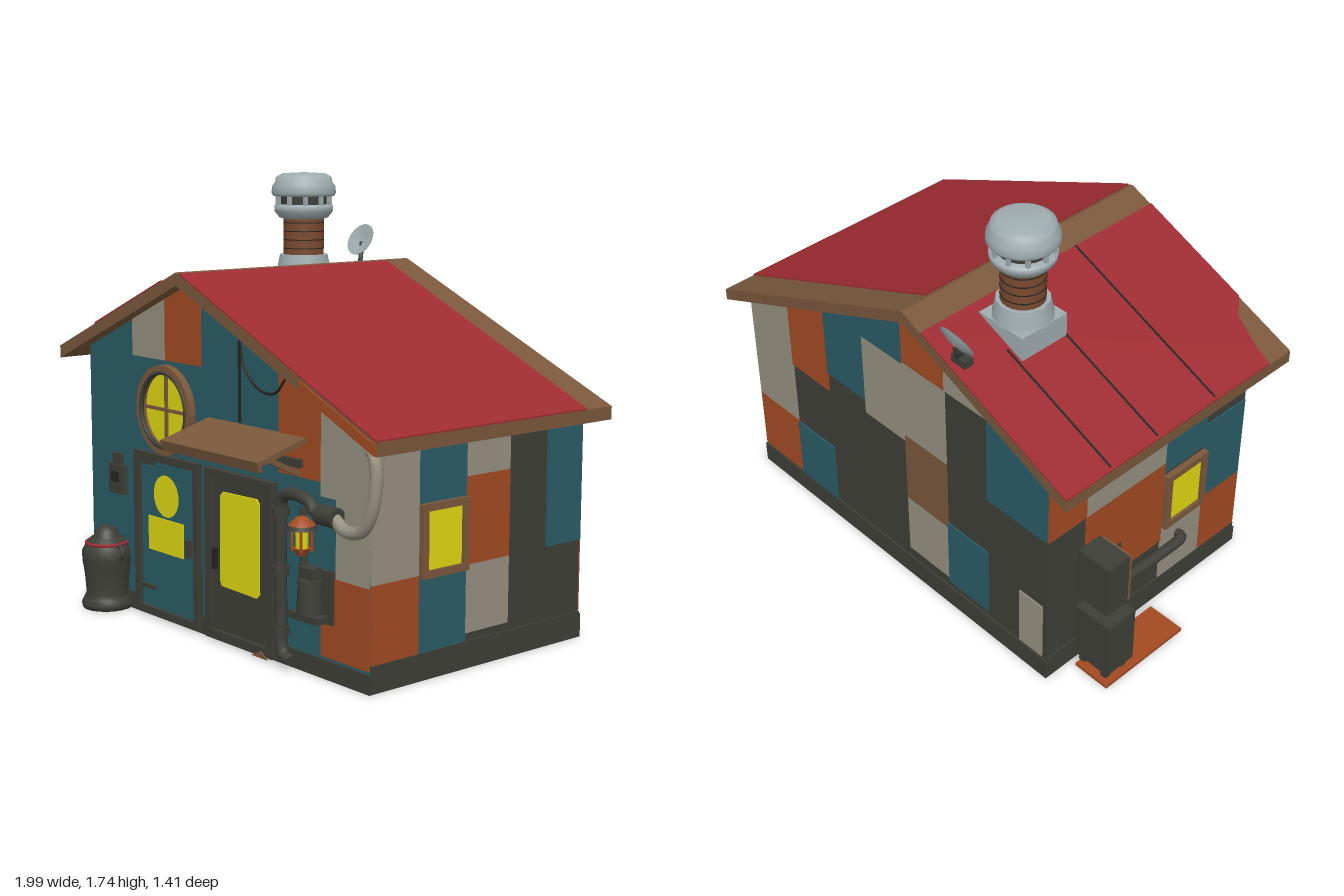
import * as THREE from 'three';

const mat = (name, color) => {
  const m = new THREE.MeshStandardMaterial({ color });
  m.name = name;
  return m;
};

export function createModel() {
  const house = new THREE.Group();
  house.name = 'workshopHouse';
  const teal = mat('teal paint', 0x2a5c66), red = mat('red roofing', 0x9e2c32),
    orange = mat('orange paint', 0xa34b22), beige = mat('beige paint', 0x969080),
    dark = mat('dark metal', 0x3f3f38), brown = mat('brown wood', 0x7a583c),
    yellow = mat('yellow glass', 0xe0d812), pale = mat('pale steel', 0xa0adb0),
    brick = mat('chimney brick', 0x7a4a2e), black = mat('black seam', 0x24241f);

  const add = (name, geo, m, x = 0, y = 0, z = 0, parent = house) => {
    const mesh = new THREE.Mesh(geo, m);
    mesh.name = name;
    mesh.position.set(x, y, z);
    parent.add(mesh);
    return mesh;
  };
  const group = (name, x, y, z) => {
    const g = new THREE.Group();
    g.name = name;
    g.position.set(x, y, z);
    house.add(g);
    return g;
  };
  const box = (name, m, w, h, d, x, y, z, parent) => add(name, new THREE.BoxGeometry(w, h, d), m, x, y, z, parent);
  const cyl = (name, m, r0, r1, h, x, y, z, parent, n = 20) =>
    add(name, new THREE.CylinderGeometry(r0, r1, h, n), m, x, y, z, parent);
  const shapeOf = pts => new THREE.Shape(pts.map(p => new THREE.Vector2(p[0], p[1])));
  const extrude = (shape, depth) => new THREE.ExtrudeGeometry(shape, { depth, bevelEnabled: false, curveSegments: 20 });
  const tube = (name, m, pts, r, tension = 0.5) => add(name, new THREE.TubeGeometry(
    new THREE.CatmullRomCurve3(pts.map(p => new THREE.Vector3(...p)), false, 'catmullrom', tension), 40, r, 10), m);
  const lathe = (name, m, pts, x, y, z, parent, n = 24) =>
    add(name, new THREE.LatheGeometry(pts.map(p => new THREE.Vector2(p[0], p[1])), n), m, x, y, z, parent);

  // Roof line and wall extents
  const RX = -0.12, RY = 1.38, L = -0.8, R = 0.9, F = 0.48, B = -0.58, T = 0.05;
  const roofY = x => RY - (x < RX ? (RX - x) * 0.427 : (x - RX) * 0.44);
  const gable = (x0, x1, y0, y1) => {
    const top = x => Math.min(y1, roofY(x) - T);
    const pts = [[x0, y0], [x1, y0], [x1, top(x1)]];
    for (const x of [0.6, 0.3, RX, -0.3, -0.6]) if (x > x0 && x < x1) pts.push([x, top(x)]);
    pts.push([x0, top(x0)]);
    return shapeOf(pts);
  };

  // Walls
  add('wallBody', extrude(gable(L, R, 0, 9), F - B), dark, 0, 0, B);
  add('frontWallPaint', extrude(gable(L, R, 0.07, 9), 0.004), teal, 0, 0, F);
  box('frontBase', dark, R - L + 0.016, 0.07, 0.02, 0.05, 0.035, F);
  box('backBase', dark, R - L + 0.016, 0.09, 0.016, 0.05, 0.045, B);
  for (const x of [L, R]) box('sideBase', dark, 0.016, 0.1, F - B, x, 0.05, -0.05);

  // Painted wall patches: colour, start, end, bottom, top
  const front = [[beige, -0.49, -0.27, 1.03, 9], [orange, -0.27, -0.04, 1.03, 9], [orange, 0.42, 0.65, 0.7, 9],
    [beige, 0.65, R, 0.65, 9], [beige, 0.73, R, 0.37, 0.65], [orange, 0.65, R, 0.08, 0.37]];
  for (const [m, a, b, c, d] of front) add('frontPatch', extrude(gable(a, b, c, d), 0.008), m, 0, 0, F);
  const back = [[orange, 0.65, R, 0.1, 0.38], [beige, 0.65, R, 0.38, 9], [teal, 0.42, 0.65, 0.09, 0.37],
    [orange, 0.42, 0.65, 0.67, 9], [teal, 0.19, 0.42, 0.76, 9], [teal, -0.04, 0.19, 1.07, 9],
    [beige, -0.04, 0.19, 0.7, 1.07], [orange, -0.27, -0.04, 1.08, 9], [beige, -0.27, -0.04, 0.73, 1.08],
    [brown, -0.27, -0.04, 0.41, 0.73], [beige, -0.27, -0.04, 0.14, 0.41], [beige, -0.49, -0.27, 1.08, 9],
    [teal, -0.49, -0.27, 0.12, 0.43], [teal, L, -0.49, 0.7, 9], [beige, -0.78, -0.66, 0.1, 0.36]];
  for (const [m, a, b, c, d] of back) add('backPatch', extrude(gable(a, b, c, d), 0.006), m, 0, 0, B - 0.006);
  const sides = [
    [R, 0.87, [[orange, 0.26, F, 0.1, 0.38], [beige, 0.26, F, 0.38, 9], [teal, 0.03, 0.26, 0.1, 0.38],
      [teal, 0.03, 0.26, 0.63, 9], [beige, -0.19, 0.03, 0.13, 0.38], [orange, -0.19, 0.03, 0.38, 0.7],
      [beige, -0.19, 0.03, 0.7, 9], [teal, B, -0.39, 0.38, 9]]],
    [L, 1.03, [[orange, 0.26, F, 0.1, 0.38], [teal, 0.26, F, 0.38, 0.75], [beige, 0.03, 0.26, 0.1, 0.37],
      [teal, 0.03, 0.26, 0.65, 9], [orange, -0.19, 0.03, 0.3, 0.7], [beige, -0.39, 0.03, 0.7, 9],
      [orange, -0.39, -0.19, 0.45, 0.7], [orange, B, -0.39, 0.7, 9]]]];
  for (const [x, top, list] of sides) for (const [m, a, b, c, d] of list) {
    const t = Math.min(d, top);
    box('sidePatch', m, 0.012, t - c, b - a, x, (c + t) / 2, (a + b) / 2);
  }

  // Roof slabs, red sheets and seams follow the slope
  const roofPlate = (name, m, pts, lift, depth) => {
    const g = extrude(shapeOf(pts.map(p => [p[0], -p[1]])), depth).rotateX(-Math.PI / 2);
    const p = g.attributes.position;
    for (let i = 0; i < p.count; i++) p.setY(i, p.getY(i) + roofY(p.getX(i)) + lift);
    g.computeVertexNormals();
    return add(name, g, m);
  };
  const rect = (x0, x1, z0, z1) => [[x0, z1], [x1, z1], [x1, z0], [x0, z0]];
  roofPlate('rightRoofSlab', brown, rect(-0.94, RX, -0.64, 0.54), -T, T);
  roofPlate('leftRoofSlab', brown, rect(RX, 0.99, -0.64, 0.54), -T, T);
  roofPlate('rightRoofSheet', red, [[-0.94, 0.42], [-0.86, 0.43], [-0.74, 0.47], [-0.68, 0.54],
    [-0.22, 0.54], [-0.22, -0.64], [-0.94, -0.64]], 0, 0.006);
  roofPlate('leftRoofSheet', red, [[-0.1, 0.54], [0.99, 0.54], [0.99, -0.5], [-0.1, -0.51]], 0, 0.006);
  for (const [x0, x1, z] of [[-0.93, -0.42, -0.415], [-0.93, -0.3, -0.18], [-0.93, -0.22, 0.125]])
    roofPlate('roofSeam', black, rect(x0, x1, z - 0.004, z + 0.004), 0.004, 0.004);
  roofPlate('orangeFascia', orange, rect(0.6, 0.985, 0.54, 0.546), -T, T - 0.01);

  // Frames and windows
  const frame = (name, m, w, h, t, d, x, y, z, parent) => {
    const s = shapeOf([[-w / 2, -h / 2], [w / 2, -h / 2], [w / 2, h / 2], [-w / 2, h / 2]]);
    const a = w / 2 - t, b = h / 2 - t;
    s.holes.push(new THREE.Path([[-a, -b], [-a, b], [a, b], [a, -b]].map(p => new THREE.Vector2(...p))));
    return add(name, extrude(s, d), m, x, y, z, parent);
  };
  for (const [x, s] of [[R, 1], [L, -1]]) {
    const w = group('sideWindow', x, 0.5, 0.145);
    w.rotation.y = s * Math.PI / 2;
    frame('windowFrame', brown, 0.225, 0.265, 0.027, 0.025, 0, 0, 0, w);
    box('windowGlass', yellow, 0.175, 0.215, 0.01, 0, 0, 0.008, w);
  }
  const round = group('roundWindow', -0.255, 0.84, F);
  const ring = new THREE.Shape().absarc(0, 0, 0.175, 0, Math.PI * 2);
  ring.holes.push(new THREE.Path().absarc(0, 0, 0.142, 0, Math.PI * 2, true));
  add('roundFrame', extrude(ring, 0.035), brown, 0, 0, 0, round);
  add('roundRim', new THREE.TorusGeometry(0.146, 0.009, 8, 36), dark, 0, 0, 0.03, round);
  add('roundGlass', new THREE.CircleGeometry(0.145, 36), yellow, 0, 0, 0.01, round);
  box('muntin', brown, 0.012, 0.28, 0.012, 0, 0, 0.014, round);
  box('muntin', brown, 0.28, 0.012, 0.012, 0, 0, 0.014, round);

  // Teal door with round and square panes
  const door = group('tealDoor', -0.255, 0, F);
  frame('doorFrame', dark, 0.42, 0.65, 0.03, 0.028, 0, 0.335, 0, door);
  box('doorLeaf', teal, 0.35, 0.6, 0.02, 0, 0.33, 0.004, door);
  add('roundPane', new THREE.CircleGeometry(0.083, 30), yellow, -0.005, 0.5, 0.018, door);
  box('squarePane', yellow, 0.23, 0.135, 0.008, -0.01, 0.34, 0.015, door);
  for (const y of [0.12, 0.62]) box('hinge', dark, 0.1, 0.016, 0.01, -0.13, y, 0.018, door);
  box('doorHandle', dark, 0.02, 0.07, 0.02, 0.145, 0.32, 0.022, door);

  // Dark door with a tall pane
  const metalDoor = group('metalDoor', 0.21, 0, F);
  frame('metalDoorFrame', dark, 0.4, 0.65, 0.035, 0.035, 0, 0.335, 0, metalDoor);
  box('metalDoorLeaf', dark, 0.34, 0.61, 0.025, 0, 0.315, 0.006, metalDoor);
  add('tallPane', extrude(shapeOf([[-0.11, 0.22], [0.1, 0.215], [0.115, 0.23], [0.115, 0.57], [0.1, 0.585],
    [-0.1, 0.58], [-0.115, 0.565], [-0.12, 0.24]]), 0.006), yellow, 0, 0, 0.018, metalDoor);
  box('metalDoorHandle', black, 0.015, 0.08, 0.025, -0.145, 0.32, 0.025, metalDoor);
  add('doorPatch', extrude(shapeOf([[0.09, 0.005], [0.18, 0.005], [0.14, 0.03]]), 0.005), brown, 0, 0, 0.036, metalDoor);

  // Awning on brackets
  const awning = group('awning', 0.285, 0.805, 0.585);
  awning.rotation.x = 0.28;
  box('awningBoard', brown, 0.57, 0.02, 0.24, 0, 0, 0, awning);
  box('awningLip', brown, 0.57, 0.04, 0.014, 0, -0.008, 0.115, awning);
  for (const x of [0.04, 0.53]) {
    const b = box('awningBrace', brown, 0.02, 0.02, 0.19, x, 0.745, 0.56);
    b.rotation.x = -0.45;
  }
  box('awningBeam', dark, 0.54, 0.03, 0.03, 0.285, 0.75, 0.49);

  // Pipes, hose and cable beside the doors
  tube('drainPipe', dark, [[0.53, 0.04, 0.53], [0.48, 0.07, 0.525], [0.47, 0.2, 0.52], [0.47, 0.5, 0.52],
    [0.48, 0.62, 0.52], [0.55, 0.645, 0.52], [0.63, 0.63, 0.52], [0.66, 0.6, 0.52], [0.76, 0.595, 0.52]], 0.023);
  for (const y of [0.14, 0.36, 0.57]) cyl('pipeCollar', dark, 0.031, 0.031, 0.03, 0.47, y, 0.52);
  cyl('pipeCoupling', dark, 0.036, 0.036, 0.09, 0.73, 0.597, 0.52).rotation.z = Math.PI / 2;
  tube('ventHose', beige, [[0.76, 0.595, 0.52], [0.82, 0.56, 0.52], [0.9, 0.575, 0.52], [0.95, 0.65, 0.52],
    [0.965, 0.76, 0.515], [0.95, 0.83, 0.51], [0.91, 0.845, 0.49]], 0.023);
  tube('thinPipe', dark, [[0.57, 0.6, 0.5], [0.575, 0.4, 0.5], [0.57, 0.24, 0.5]], 0.012);
  tube('hangingCable', black, [[0.2, 1.17, 0.49], [0.22, 1.07, 0.49], [0.3, 0.99, 0.49], [0.4, 0.98, 0.49], [0.47, 1.05, 0.49]], 0.005);
  box('cable', black, 0.01, 0.34, 0.008, 0.195, 1.02, 0.487);

  // Lantern
  const lamp = group('lantern', 0.635, 0.51, 0.56);
  cyl('lampGlass', yellow, 0.024, 0.022, 0.085, 0, 0, 0, lamp, 12);
  lathe('lampHood', orange, [[0.052, 0.04], [0.045, 0.052], [0.02, 0.075], [0, 0.08]], 0, 0, 0, lamp, 16).material = orange;
  cyl('lampCollar', dark, 0.05, 0.055, 0.014, 0, 0.04, 0, lamp, 16);
  cyl('lampBase', orange, 0.032, 0.018, 0.025, 0, -0.047, 0, lamp, 12);
  for (let i = 0; i < 4; i++) {
    const a = Math.PI / 4 + i * Math.PI / 2;
    cyl('lampBar', orange, 0.006, 0.006, 0.09, Math.cos(a) * 0.034, 0, Math.sin(a) * 0.034, lamp, 6);
  }
  box('lampArm', dark, 0.014, 0.014, 0.09, 0, 0.09, -0.04, lamp);

  // Meter with small pump
  box('meterPlate', dark, 0.18, 0.19, 0.015, 0.635, 0.3, 0.493);
  cyl('meterPump', dark, 0.045, 0.05, 0.12, 0.64, 0.3, 0.525);
  box('meterBase', dark, 0.15, 0.025, 0.07, 0.635, 0.225, 0.525);
  box('meterHead', dark, 0.07, 0.05, 0.05, 0.63, 0.375, 0.52);

  // Door intercom
  box('intercomBox', dark, 0.1, 0.12, 0.025, -0.595, 0.52, 0.495);
  box('intercomTop', dark, 0.055, 0.05, 0.02, -0.595, 0.6, 0.493);
  box('intercomSlot', black, 0.05, 0.04, 0.006, -0.595, 0.53, 0.51);

  // Gas canister
  const can = group('canister', -0.61, 0, 0.545);
  lathe('canisterBody', dark, [[0, 0], [0.1, 0], [0.105, 0.02], [0.095, 0.04], [0.085, 0.06], [0.09, 0.13], [0.1, 0.2],
    [0.1, 0.235], [0.085, 0.26], [0.065, 0.285], [0.05, 0.29], [0.045, 0.315], [0.025, 0.33], [0, 0.333]], 0, 0, 0, can);
  add('canisterBand', new THREE.TorusGeometry(0.082, 0.007, 6, 28), red, 0, 0.265, 0, can).rotation.x = Math.PI / 2;
  for (const s of [-1, 1]) add('canisterHandle', new THREE.TorusGeometry(0.025, 0.01, 8, 14), dark, s * 0.09, 0.235, 0, can);

  // Chimney
  const chimney = group('chimney', -0.37, 0, -0.29);
  box('chimneyFoot', pale, 0.22, 0.16, 0.22, 0, 1.25, 0, chimney);
  cyl('chimneyCollar', pale, 0.1, 0.115, 0.075, 0, 1.362, 0, chimney, 12);
  cyl('brickStack', brick, 0.083, 0.083, 0.2, 0, 1.48, 0, chimney);
  for (let i = 0; i < 4; i++) cyl('mortarLine', black, 0.0845, 0.0845, 0.004, 0, 1.425 + i * 0.035, 0, chimney);
  lathe('capCup', pale, [[0.083, 1.545], [0.1, 1.55], [0.12, 1.575], [0.122, 1.6], [0.09, 1.605], [0, 1.605]], 0, 0, 0, chimney, 28);
  cyl('capVent', dark, 0.095, 0.095, 0.05, 0, 1.62, 0, chimney);
  for (let i = 0; i < 10; i++) {
    const a = i * Math.PI / 5;
    box('capPost', pale, 0.014, 0.05, 0.014, Math.cos(a) * 0.11, 1.62, Math.sin(a) * 0.11, chimney);
  }
  lathe('capDome', pale, [[0, 1.638], [0.125, 1.638], [0.133, 1.65], [0.13, 1.68], [0.118, 1.695], [0.115, 1.715],
    [0.09, 1.73], [0, 1.735]], 0, 0, 0, chimney, 28);

  // Satellite dish
  const dish = group('dish', -0.44, 1.44, -0.67);
  dish.rotation.x = 1.08;
  lathe('dishBowl', pale, [[0, -0.014], [0.04, -0.008], [0.072, 0.002], [0.072, 0.006], [0.04, -0.002], [0, -0.008]], 0, 0, 0, dish);
  tube('dishArm', dark, [[-0.44, 1.43, -0.675], [-0.42, 1.36, -0.65], [-0.39, 1.33, -0.61], [-0.39, 1.24, -0.59]], 0.01);
  box('dishMount', dark, 0.07, 0.03, 0.04, -0.39, 1.3, -0.6);

  // Utility boxes, pipe and board on the right wall
  box('wallCabinet', dark, 0.15, 0.23, 0.11, -0.905, 0.485, -0.4);
  frame('cabinetDoor', brown, 0.14, 0.22, 0.014, 0.012, -0.91, 0.485, -0.345);
  box('cabinetLatch', black, 0.012, 0.04, 0.012, -0.95, 0.49, -0.338);
  box('generator', dark, 0.17, 0.25, 0.14, -0.915, 0.195, -0.39);
  for (const x of [-0.97, -0.86]) for (const z of [-0.43, -0.35])
    cyl('generatorWheel', dark, 0.024, 0.024, 0.02, x, 0.05, z, house, 12).rotation.z = Math.PI / 2;
  tube('sidePipe', dark, [[-0.83, 0.28, -0.32], [-0.84, 0.28, -0.1], [-0.84, 0.28, 0.1], [-0.81, 0.28, 0.13]], 0.022);
  box('floorBoard', orange, 0.16, 0.014, 0.42, -0.92, 0.007, -0.25);

  return house;
}
